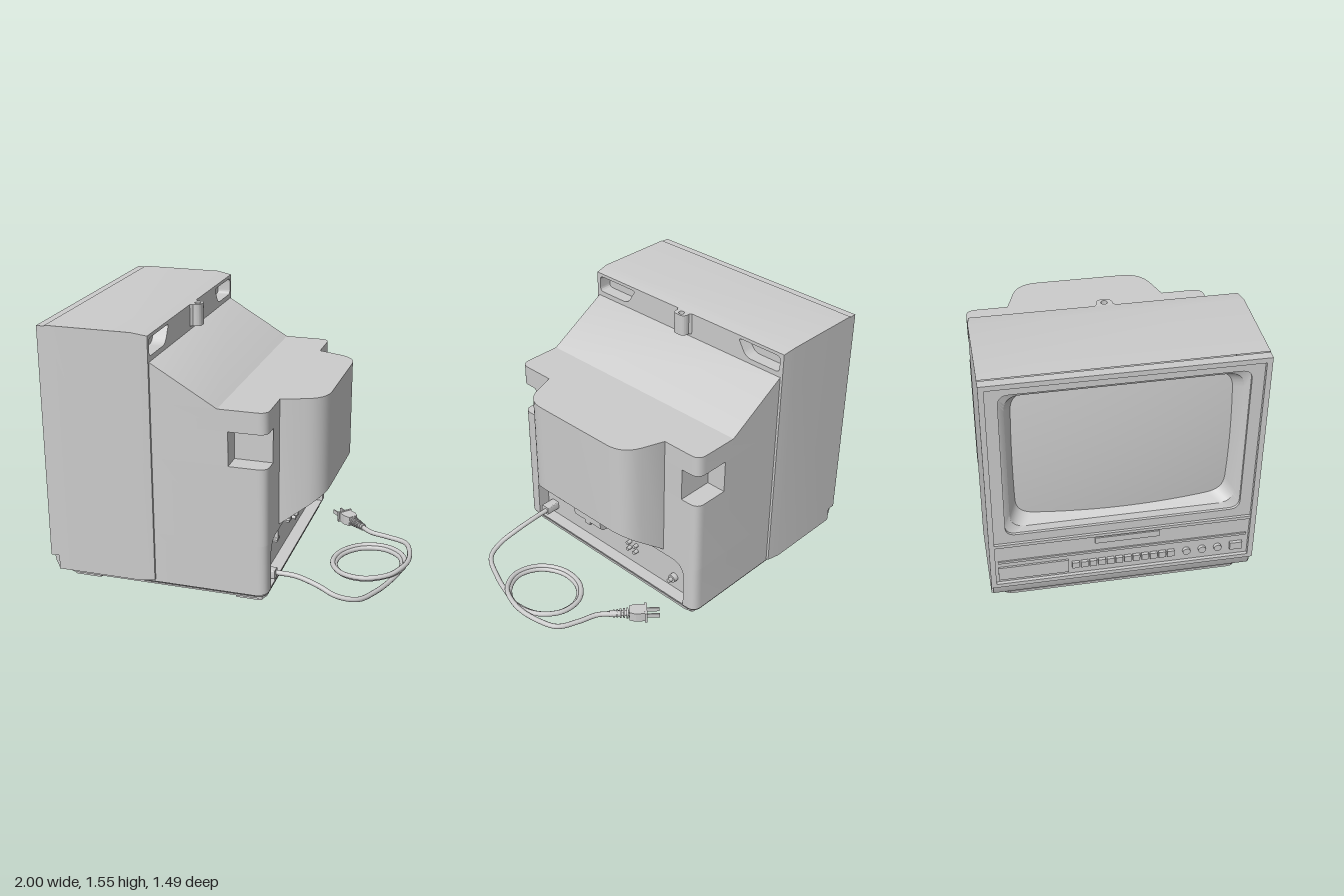
import * as THREE from 'three';
import { toCreasedNormals } from 'three/addons/utils/BufferGeometryUtils.js';

const mat = new THREE.MeshStandardMaterial({ color: 0xcccccc });
const thin = new THREE.MeshStandardMaterial({ color: 0xcccccc, side: THREE.DoubleSide });

// Polygon whose corners [x, y, r] are rounded where r is given
function poly(pts, Type = THREE.Shape) {
  const s = new Type();
  const n = pts.length;
  pts.forEach(([x, y, r = 0], i) => {
    const p = new THREE.Vector2(x, y);
    const toward = ([qx, qy]) => new THREE.Vector2(qx, qy).sub(p).setLength(r).add(p);
    const a = r ? toward(pts[(i + n - 1) % n]) : p;
    if (i) s.lineTo(a.x, a.y); else s.moveTo(a.x, a.y);
    if (r) {
      const b = toward(pts[(i + 1) % n]);
      s.quadraticCurveTo(x, y, b.x, b.y);
    }
  });
  s.closePath();
  return s;
}
const rect = (x0, x1, y0, y1, r = 0, Type = THREE.Shape) =>
  poly([[x0, y0, r], [x1, y0, r], [x1, y1, r], [x0, y1, r]], Type);

function createModel() {
  const root = new THREE.Group();
  const add = (name, geo, material = mat, parent = root) => {
    const m = new THREE.Mesh(geo, material);
    m.name = name;
    parent.add(m);
    return m;
  };
  const extrude = (shape, depth) =>
    new THREE.ExtrudeGeometry(shape, { depth, bevelEnabled: false, curveSegments: 8 });
  // Prisms along each axis: outlines are (x, -z), (-z, y) and (x, y)
  const prismY = (s, y0, y1) => toCreasedNormals(extrude(s, y1 - y0).rotateX(-Math.PI / 2).translate(0, y0, 0), 0.6);
  const prismX = (s, x0, x1) => toCreasedNormals(extrude(s, x1 - x0).rotateY(Math.PI / 2).translate(x0, 0, 0), 0.6);
  const prismZ = (s, z0, z1) => toCreasedNormals(extrude(s, z1 - z0).translate(0, 0, z0), 0.6);
  const box = (name, x0, x1, y0, y1, z0, z1, parent = root) =>
    add(name, new THREE.BoxGeometry(x1 - x0, y1 - y0, z1 - z0)
      .translate((x0 + x1) / 2, (y0 + y1) / 2, (z0 + z1) / 2), mat, parent);
  const rod = (name, r, x0, x1, y, z, sides = 16) =>
    add(name, new THREE.CylinderGeometry(r, r, x1 - x0, sides).rotateZ(Math.PI / 2).translate((x0 + x1) / 2, y, z));
  // Skin between closed rings of equal point count
  const loft = (rings) => {
    const pos = [];
    for (let k = 0; k + 1 < rings.length; k++) {
      const [a, b] = [rings[k], rings[k + 1]];
      a.forEach((p, i) => {
        const j = (i + 1) % a.length;
        for (const v of [p, a[j], b[j], p, b[j], b[i]]) pos.push(...v);
      });
    }
    const g = new THREE.BufferGeometry();
    g.setAttribute('position', new THREE.Float32BufferAttribute(pos, 3));
    g.computeVertexNormals();
    return toCreasedNormals(g, 0.6);
  };
  const ringX = (x, zh, y0, y1, r = 0) =>
    rect(-zh, zh, y0, y1, r).getPoints(8).slice(0, -1).map((p) => [x, p.y, -p.x]);
  const ringY = (y, x0, x1, zh, r) =>
    rect(x0, x1, -zh, zh, r).getPoints(6).slice(0, -1).map((p) => [p.x, y, -p.y]);

  // Cabinet sleeve with its slightly tapered rear edge
  add('cabinetSleeve', loft([ringX(-0.95, 0.745, 0.08, 1.555), ringX(-0.45, 0.745, 0.08, 1.555),
    ringX(-0.36, 0.735, 0.09, 1.54)]), thin);
  const back = rect(-0.735, 0.735, 0.09, 1.54);
  for (const s of [-1, 1]) {
    back.holes.push(poly([[0.71 * s, 1.42, 0.025], [0.71 * s, 1.52, 0.025],
      [0.41 * s, 1.52, 0.02], [0.47 * s, 1.42, 0.04]], THREE.Path));
  }
  add('cabinetBack', prismX(back, -0.44, -0.36));
  box('handleRecessFloor', -0.46, -0.44, 1.38, 1.53, -0.73, 0.73);

  // Antenna socket on the back edge
  const socket = poly([[-0.37, -0.065], [-0.345, -0.045], [-0.3, -0.045, 0.035],
    [-0.3, 0.045, 0.035], [-0.345, 0.045], [-0.37, 0.065]]);
  socket.holes.push(new THREE.Path().absarc(-0.33, 0, 0.018, 0, Math.PI * 2, true));
  add('antennaSocket', prismY(socket, 1.41, 1.54));

  // Rear cover in layers: connector recess, plain wall, grip notches, sloped top
  const half = (pts) => poly([...pts.map(([x, z, r]) => [x, -z, r]), ...pts.slice().reverse()]);
  const full = half([[-0.4, 0.72], [0.3, 0.72, 0.06]]);
  add('rearCoverLower', prismY(half([[-0.4, 0.72], [0.3, 0.72, 0.06], [0.3, 0.63], [0.22, 0.63]]), 0.08, 0.38));
  add('rearCoverMiddle', prismY(full, 0.38, 0.84));
  add('rearCoverGrips', prismY(half([[-0.4, 0.72], [0.08, 0.72], [0.08, 0.6], [0.3, 0.6]]), 0.84, 1.04));
  add('rearCoverUpper', prismY(full, 1.04, 1.165));
  add('rearCoverSlope', prismZ(poly([[-0.4, 1.165], [0.02, 1.165], [-0.36, 1.39], [-0.4, 1.39]]), -0.72, 0.72));
  for (const s of [-1, 1]) {
    const corner = new THREE.Shape();
    corner.moveTo(0.63 * s, 0.38);
    corner.lineTo(0.53 * s, 0.38);
    corner.quadraticCurveTo(0.63 * s, 0.38, 0.63 * s, 0.28);
    add('recessCorner', prismX(corner, 0.22, 0.3));
  }

  // Tube housing, its underside sheared into a slope
  const bulge = extrude(half([[0.29, 0.47], [0.3, 0.47], [0.545, 0.385, 0.12]]), 0.755)
    .rotateX(-Math.PI / 2).translate(0, 0.41, 0);
  const p = bulge.attributes.position;
  for (let i = 0; i < p.count; i++) {
    if (p.getY(i) < 0.5) p.setY(i, 0.41 + Math.max(0, p.getX(i) - 0.3) * 0.72);
  }
  add('tubeHousing', toCreasedNormals(bulge, 0.6));
  const bracket = poly([[0.29, 0.4], [0.44, 0.43], [0.46, 0.45], [0.46, 0.515], [0.4, 0.5], [0.29, 0.42]]);
  for (const s of [-1, 1]) add('bracketBlock', prismZ(bracket, 0.065 * s - 0.045, 0.065 * s + 0.045));
  add('bracketFin', prismZ(poly([[0.29, 0.4], [0.46, 0.43], [0.46, 0.53], [0.29, 0.43]]), -0.022, 0.022));
  add('bracketSkirt', prismX(poly([[-0.135, 0.402], [0.135, 0.402], [0.11, 0.45], [-0.11, 0.45]]), 0.29, 0.37));

  // Connectors in the recess
  for (const z of [0.42, 0.145]) {
    box('cordHookStem', 0.21, 0.285, 0.29, 0.345, z - 0.005, z + 0.005);
    box('cordHookBar', 0.21, 0.285, 0.285, 0.298, z - 0.032, z + 0.032);
  }
  for (const z of [-0.12, -0.175]) for (const y of [0.18, 0.225]) rod('terminal', 0.012, 0.21, 0.25, y, z);
  rod('jackRing', 0.026, 0.21, 0.25, 0.165, -0.49);
  rod('jackPin', 0.014, 0.21, 0.275, 0.165, -0.49);
  add('cordGrommet', prismX(rect(-0.595, -0.535, 0.12, 0.175, 0.012), 0.21, 0.312));

  // Front bezel, fascia and picture tube
  const rim = rect(-0.745, 0.745, 0.165, 1.55);
  rim.holes.push(rect(-0.715, 0.715, 0.19, 1.52, 0, THREE.Path));
  add('bezelRim', prismX(rim, -1, -0.95));
  const fascia = rect(-0.725, 0.725, 0.18, 1.53);
  fascia.holes.push(rect(-0.65, 0.65, 0.53, 1.47, 0.06, THREE.Path));
  add('fascia', prismX(fascia, -0.98, -0.93));
  add('screenSurround', loft([ringX(-0.965, 0.65, 0.53, 1.47, 0.06), ringX(-0.95, 0.62, 0.56, 1.44, 0.09),
    ringX(-0.88, 0.58, 0.595, 1.405, 0.1)]), thin);
  const glass = new THREE.PlaneGeometry(1.2, 0.86, 20, 16).rotateY(-Math.PI / 2);
  const g = glass.attributes.position;
  for (let i = 0; i < g.count; i++) {
    g.setX(i, -0.925 + 0.1 * g.getZ(i) ** 2 + 0.1 * g.getY(i) ** 2);
  }
  glass.translate(0, 1, 0).computeVertexNormals();
  add('screen', glass, thin);
  add('chin', prismZ(poly([[-0.985, 0.19], [-0.975, 0.13], [-0.955, 0.08], [-0.9, 0.08], [-0.9, 0.19]]), -0.735, 0.735));

  // Controls under the screen
  box('fasciaLedge', -0.995, -0.97, 0.455, 0.475, -0.715, 0.715);
  box('displayStrip', -0.988, -0.97, 0.4, 0.44, -0.16, 0.2);
  box('controlRail', -0.988, -0.97, 0.33, 0.345, -0.7, 0.7);
  box('controlDoor', -0.99, -0.97, 0.21, 0.3, -0.7, -0.31);
  for (let i = 0; i < 12; i++) {
    const z = -0.27 + i * 0.049;
    box('channelButton', -0.998, -0.97, 0.24, 0.28, z - 0.02, z + 0.02);
  }
  for (const z of [0.36, 0.45, 0.54]) rod('controlKnob', 0.022, -0.998, -0.97, 0.26, z);
  box('powerButton', -0.998, -0.97, 0.235, 0.285, 0.61, 0.68);

  // Base tray with slatted underside and feet
  add('baseTaper', loft([ringY(0.085, -0.95, 0.3, 0.72, 0.06), ringY(0.045, -0.93, 0.28, 0.68, 0.06)]), thin);
  add('baseFloor', prismY(rect(-0.945, 0.295, -0.715, 0.715, 0.06), 0.07, 0.08));
  const lip = rect(-0.93, 0.28, -0.68, 0.68, 0.06);
  lip.holes.push(rect(-0.88, 0.23, -0.62, 0.62, 0.05, THREE.Path));
  add('baseLip', prismY(lip, 0.035, 0.075));
  for (let i = 0; i < 8; i++) {
    const x = -0.79 + i * 0.133;
    box('baseSlat', x - 0.008, x + 0.008, 0.045, 0.075, -0.63, 0.63);
  }
  for (const s of [-1, 1]) {
    box('baseCrossbar', -0.82, 0.05, 0.05, 0.075, 0.4 * s - 0.03, 0.4 * s + 0.03);
    for (const [x0, x1] of [[-0.89, -0.72], [0.1, 0.26]]) {
      add('foot', prismY(rect(x0, x1, 0.625 * s - 0.045, 0.625 * s + 0.045, 0.02), 0.02, 0.04));
    }
  }

  // Power cord: drop, two coils, then out to the plug
  const path = [[0.3, 0.148, 0.555], [0.43, 0.142, 0.555], [0.56, 0.11, 0.572], [0.67, 0.07, 0.588],
    [0.78, 0.045, 0.55], [0.86, 0.03, 0.4], [0.92, 0.025, 0.22]];
  for (let i = 0; i <= 18; i++) {
    const a = -0.1 + i * Math.PI / 4.5 * 1;
    const r = i < 9 ? 0.2 : 0.215;
    path.push([0.755 + r * Math.cos(a), 0.03 + 0.0015 * i + 0.012 * Math.cos(a), 0.08 - (r + 0.015) * Math.sin(a)]);
  }
  path.pop();
  path.push([0.965, 0.07, 0.14], [0.984, 0.065, 0.03], [0.965, 0.06, -0.12], [0.92, 0.055, -0.22],
    [0.8, 0.052, -0.275], [0.69, 0.052, -0.31], [0.61, 0.055, -0.38]);
  const cord = new THREE.CatmullRomCurve3(path.map((q) => new THREE.Vector3(...q)));
  add('powerCord', new THREE.TubeGeometry(cord, 260, 0.015, 10));

  // Plug, modelled along +x and then turned
  const plug = new THREE.Group();
  plug.name = 'plug';
  for (let i = 0; i < 6; i++) {
    add('strainRelief', new THREE.CylinderGeometry(0.022 + 0.002 * i, 0.022 + 0.002 * i, 0.01, 12)
      .rotateZ(Math.PI / 2).translate(i * 0.02, 0, 0), mat, plug);
  }
  add('plugCore', new THREE.CylinderGeometry(0.018, 0.018, 0.13, 10).rotateZ(Math.PI / 2).translate(0.06, 0, 0), mat, plug);
  add('plugBody', prismY(poly([[0.11, -0.03], [0.15, -0.045, 0.01], [0.2, -0.04], [0.2, 0.04],
    [0.15, 0.045, 0.01], [0.11, 0.03]]), -0.03, 0.03), mat, plug);
  box('plugFace', 0.2, 0.215, -0.033, 0.033, -0.05, 0.05, plug);
  for (const s of [-1, 1]) box('plugProng', 0.21, 0.29, -0.013, 0.013, 0.026 * s - 0.004, 0.026 * s + 0.004, plug);
  plug.position.set(0.63, 0.055, -0.36);
  plug.rotation.y = Math.PI * 0.76;
  root.add(plug);

  return root;
}

export { createModel };
